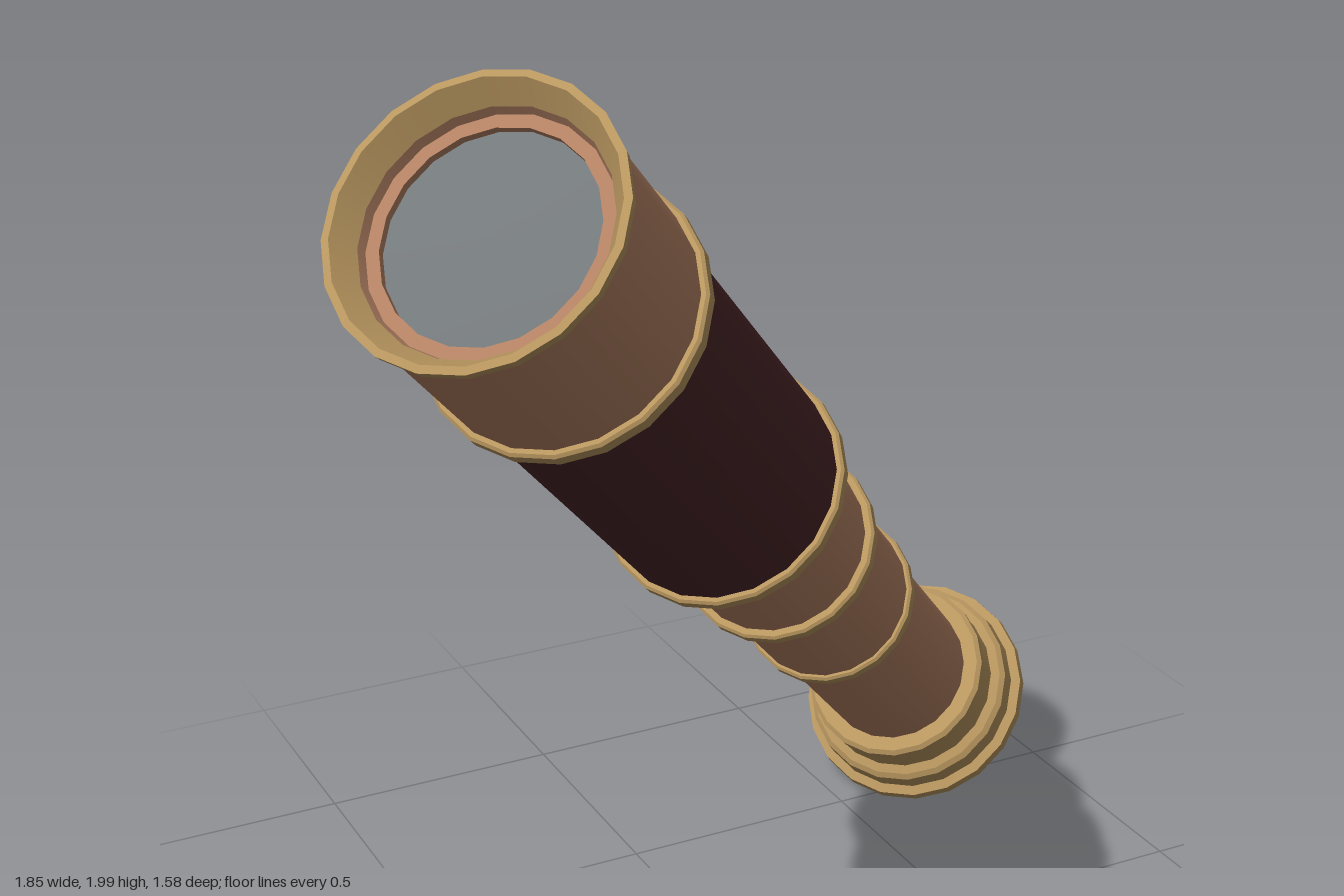
import * as THREE from 'three';
import { mergeGeometries } from 'three/addons/utils/BufferGeometryUtils.js';

const SIDES = 20;

// Lathe with a hard edge at every profile point; points are [radius, height]
function turned(points) {
  const bands = [];
  for (let i = 0; i < points.length - 1; i++) {
    const pair = [points[i], points[i + 1]].map(([r, y]) => new THREE.Vector2(r, y));
    bands.push(new THREE.LatheGeometry(pair, SIDES));
  }
  return mergeGeometries(bands);
}

// Lathe with smooth normals along the profile
function smoothTurned(points) {
  return new THREE.LatheGeometry(points.map(([r, y]) => new THREE.Vector2(r, y)), SIDES);
}

export function createModel() {
  const material = (name, color) => {
    const m = new THREE.MeshStandardMaterial({ color });
    m.name = name;
    return m;
  };
  const copper = material('copper', 0xb48264);
  const brass = material('brass', 0xb8965f);
  const leather = material('dark leather', 0x4a2528);
  const glass = material('grey glass', 0x74797c);

  const spyglass = new THREE.Group();
  spyglass.name = 'spyglass';
  const add = (name, geometry, mat) => {
    const mesh = new THREE.Mesh(geometry, mat);
    mesh.name = name;
    spyglass.add(mesh);
  };

  // Telescoping tubes: name, radius, lower end, upper end
  const tubes = [
    ['eyepieceTube', 0.157, -1.07, -0.54, copper],
    ['middleTube', 0.167, -0.55, -0.2, copper],
    ['upperTube', 0.178, -0.21, 0.13, copper],
    ['leatherGrip', 0.22, 0.12, 0.89, leather],
    ['objectiveBarrel', 0.231, 0.88, 1.222, copper],
  ];
  for (const [name, r, y0, y1, mat] of tubes) add(name, turned([[r, y0], [r, y1]]), mat);

  // Brass bands over the joints: radius, inner radius, centre height
  const bands = [
    [0.177, 0.15, -0.548],
    [0.195, 0.16, -0.21],
    [0.233, 0.17, 0.12],
    [0.244, 0.21, 0.885],
  ];
  bands.forEach(([r, inner, y], i) => {
    const h = 0.016, b = 0.005;
    add('jointBand' + (i + 1), turned([
      [inner, y - h], [r - b, y - h], [r, y - h + b], [r, y + h - b], [r - b, y + h], [inner, y + h],
    ]), brass);
  });

  // Objective end: flared lip, recessed seat and lens
  add('objectiveLip', turned([
    [0.228, 1.212], [0.243, 1.218], [0.245, 1.235], [0.232, 1.237], [0.205, 1.195],
  ]), brass);
  add('lensSeat', turned([[0.205, 1.195], [0.2, 1.178], [0.178, 1.178], [0.178, 1.16]]), copper);
  add('objectiveLens', smoothTurned([[0.18, 1.164], [0.12, 1.17], [0.06, 1.173], [0, 1.174]]), glass);

  // Stepped eyepiece cup
  add('eyepieceCup', turned([
    [0.224, -1.237], [0.24, -1.237], [0.246, -1.228], [0.244, -1.205], [0.225, -1.198],
    [0.222, -1.155], [0.212, -1.145], [0.194, -1.138], [0.19, -1.078],
    [0.195, -1.07], [0.195, -1.05], [0.186, -1.042], [0.15, -1.042],
  ]), brass);

  // Concave dish with the small eye lens at its centre
  add('eyepieceDish', smoothTurned([
    [0.036, -1.145], [0.08, -1.15], [0.13, -1.164], [0.18, -1.193], [0.224, -1.237],
  ]), brass);
  add('eyeLens', smoothTurned([[0, -1.159], [0.022, -1.156], [0.042, -1.143]]), glass);

  // Tilt the long axis into place
  const axis = new THREE.Vector3(-0.5915, 0.6585, 0.4654).normalize();
  spyglass.quaternion.setFromUnitVectors(new THREE.Vector3(0, 1, 0), axis);
  spyglass.position.set(0, 1, 0);

  const model = new THREE.Group();
  model.name = 'model';
  model.add(spyglass);
  return model;
}
